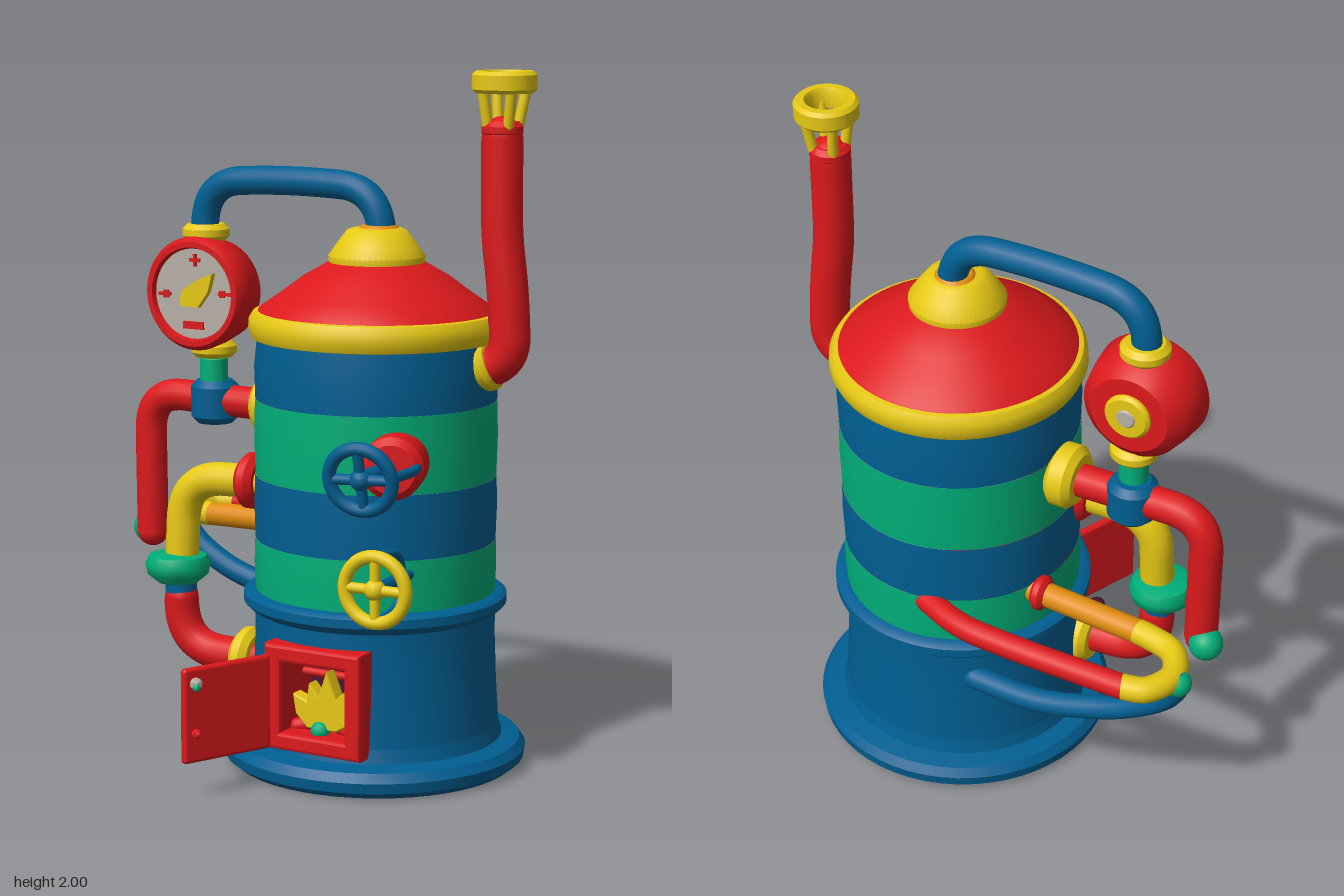
import * as THREE from 'three';
import { toCreasedNormals } from 'three/addons/utils/BufferGeometryUtils.js';
import { RoundedBoxGeometry } from 'three/addons/geometries/RoundedBoxGeometry.js';

const V = (p) => new THREE.Vector3(...p);
const mat = (name, color) => Object.assign(new THREE.MeshStandardMaterial({ color }), { name });

export function createModel() {
  const root = new THREE.Group();
  root.name = 'boiler';
  const red = mat('red', 0xdc191c);
  const yellow = mat('yellow', 0xe6c814);
  const blue = mat('blue', 0x005f92);
  const green = mat('green', 0x00ae78);
  const orange = mat('orange', 0xdf8c0c);
  const grey = mat('grey', 0xb8b0a6);
  const dark = mat('dark plum', 0x4a1530);

  const add = (name, geo, m, pos = [0, 0, 0], parent = root) => {
    const mesh = new THREE.Mesh(geo, m);
    mesh.name = name;
    mesh.position.set(...pos);
    parent.add(mesh);
    return mesh;
  };
  // Turned part from [radius, height] pairs, listed bottom to top
  const lathe = (name, pts, m, pos, parent, start = 0, len = Math.PI * 2, seg = 56) =>
    add(name, toCreasedNormals(new THREE.LatheGeometry(pts.map((p) => new THREE.Vector2(...p)), seg, start, len), 0.7), m, pos, parent);
  // Pipe through corner points, each corner rounded by "bend"
  const pipe = (name, pts, r, m, bend = 0.1) => {
    const path = new THREE.CurvePath();
    let from = V(pts[0]);
    for (let i = 1; i < pts.length; i++) {
      const c = V(pts[i]);
      if (i === pts.length - 1) { path.add(new THREE.LineCurve3(from, c)); break; }
      const a = c.clone().add(from.clone().sub(c).setLength(Math.min(bend, from.distanceTo(c) * 0.9)));
      const next = V(pts[i + 1]);
      const b = c.clone().add(next.sub(c).setLength(Math.min(bend, next.length() * 0.9)));
      path.add(new THREE.LineCurve3(from, a));
      path.add(new THREE.QuadraticBezierCurve3(a, c, b));
      from = b;
    }
    add(name, new THREE.TubeGeometry(path, 48, r, 16), m);
    for (const p of [pts[0], pts[pts.length - 1]]) {
      const cap = add(name + 'End', new THREE.SphereGeometry(r, 16, 10), m, p);
      cap.scale.setScalar(0.98);
    }
  };
  // Rounded collar along x, y or z
  const collar = (name, pos, r, len, m, axis = 'y', parent = root) => {
    const b = Math.min(0.02, len * 0.3), h = len / 2;
    const c = lathe(name, [[0, -h], [r - b, -h], [r, b - h], [r, h - b], [r - b, h], [0, h]], m, pos, parent, 0, Math.PI * 2, 28);
    if (axis === 'x') c.rotation.z = -Math.PI / 2;
    if (axis === 'z') c.rotation.x = Math.PI / 2;
    return c;
  };

  // Boiler body, stacked as coloured bands; the firebox band has a gap at the front
  const body = new THREE.Group();
  body.name = 'body';
  body.position.set(0.193, 0, -0.101);
  root.add(body);
  const O = [0, 0, 0], gap = 0.37;
  lathe('baseFlange', [[0, 0], [0.41, 0], [0.435, 0.02], [0.44, 0.05], [0.422, 0.075], [0.37, 0.085], [0.36, 0.125]], blue, O, body);
  lathe('fireboxWall', [[0.36, 0.125], [0.352, 0.25], [0.347, 0.38]], blue, O, body, gap, Math.PI * 2 - 2 * gap);
  lathe('beltFlange', [[0.347, 0.38], [0.347, 0.45], [0.365, 0.46], [0.38, 0.475], [0.38, 0.5], [0.365, 0.512], [0.34, 0.512]], blue, O, body);
  [[0.51, 0.66, green], [0.66, 0.845, blue], [0.845, 1.065, green], [1.065, 1.25, blue]].forEach(([a, b, m], i) =>
    lathe('band' + (i + 1), [[0.346, a], [0.349, (a + b) / 2], [i === 3 ? 0.34 : 0.347, b]], m, O, body));
  lathe('lidRim', [[0.33, 1.235], [0.355, 1.24], [0.366, 1.265], [0.364, 1.295], [0.352, 1.314], [0.33, 1.318]], yellow, O, body);
  lathe('lid', [[0.345, 1.305], [0.335, 1.322], [0.28, 1.36], [0.21, 1.412], [0.13, 1.458], [0.1, 1.465]], red, O, body);
  lathe('lidCap', [[0.11, 1.44], [0.136, 1.45], [0.138, 1.472], [0.115, 1.505], [0.085, 1.545], [0.07, 1.55], [0, 1.55]], yellow, O, body);
  collar('capSeal', [0, 1.545, -0.012], 0.057, 0.025, orange, 'y', body);

  // Firebox frame, interior and fire
  const rect = (P, x0, y0, x1, y1) => {
    const s = new P();
    s.moveTo(x0, y0); s.lineTo(x1, y0); s.lineTo(x1, y1); s.lineTo(x0, y1); s.closePath();
    return s;
  };
  const frame = rect(THREE.Shape, 0.055, 0.11, 0.345, 0.395);
  frame.holes.push(rect(THREE.Path, 0.088, 0.14, 0.315, 0.365));
  add('fireboxFrame', new THREE.ExtrudeGeometry(frame, { depth: 0.18, bevelSize: 0.01, bevelThickness: 0.01, bevelSegments: 2 }), red, [0, 0, 0.09]);
  add('fireboxBack', new THREE.BoxGeometry(0.27, 0.27, 0.01), dark, [0.2, 0.25, 0.1]);
  for (const y of [0.3, 0.34]) pipe('grateBar', [[0.08, y, 0.14], [0.32, y, 0.14]], 0.012, red);
  for (const s of [-1, 1]) pipe('log', [[0.2 - 0.09 * s, 0.155, 0.2], [0.2 + 0.08 * s, 0.2, 0.15]], 0.022, red);
  const flame = new THREE.Shape([[0.16, 0.165], [0.25, 0.165], [0.295, 0.19], [0.315, 0.25], [0.285, 0.235], [0.28, 0.28], [0.25, 0.25],
    [0.22, 0.325], [0.195, 0.25], [0.165, 0.285], [0.16, 0.235], [0.115, 0.25], [0.125, 0.2]].map((p) => new THREE.Vector2(...p)));
  add('flame', new THREE.ExtrudeGeometry(flame, { depth: 0.03, bevelSize: 0.005, bevelThickness: 0.01, bevelSegments: 2 }), yellow, [0, 0, 0.19]);
  add('ember', new THREE.SphereGeometry(0.028, 12, 8), green, [0.2, 0.158, 0.225]);

  // Open firebox door, swung out to the front beside the frame
  const door = new THREE.Group();
  door.name = 'door';
  door.position.set(0.06, 0.238, 0.275);
  door.rotation.y = Math.PI + 1.15;
  root.add(door);
  add('doorPanel', new RoundedBoxGeometry(0.29, 0.272, 0.026, 3, 0.011), red, [0.145, 0, 0], door);
  collar('doorKnob', [0.257, 0.094, -0.022], 0.017, 0.03, grey, 'z', door);
  add('knobTip', new THREE.SphereGeometry(0.011, 10, 8), green, [0.264, 0.086, -0.034], door);
  collar('doorLatch', [0.255, -0.05, -0.02], 0.013, 0.03, red, 'z', door);
  for (const y of [0.16, 0.33]) collar('hinge', [0.055, y, 0.27], 0.018, 0.05, red);
  pipe('latchPeg', [[-0.05, 0.21, 0.14], [-0.09, 0.21, 0.23]], 0.026, dark);

  // Chimney with raised ring cap
  collar('chimneyFlange', [0.535, 1.185, -0.12], 0.078, 0.05, yellow, 'x').rotation.z = -1.2;
  pipe('chimney', [[0.5, 1.17, -0.12], [0.61, 1.19, -0.12], [0.6, 1.4, -0.118], [0.58, 1.55, -0.115], [0.578, 1.82, -0.115]], 0.058, red, 0.08);
  collar('chimneyTop', [0.578, 1.84, -0.115], 0.058, 0.045, red);
  lathe('chimneyRing', [[0.052, 1.94], [0.08, 1.94], [0.09, 1.95], [0.09, 1.99], [0.08, 2], [0.06, 2], [0.052, 1.985], [0.052, 1.94]], yellow, [0.583, 0, -0.115]);
  for (let i = 0; i < 4; i++) {
    const a = (i * Math.PI) / 2 + Math.PI / 4, c = Math.cos(a), s = Math.sin(a);
    pipe('ringStrut', [[0.58 + 0.045 * c, 1.85, -0.115 + 0.045 * s], [0.583 + 0.064 * c, 1.955, -0.115 + 0.064 * s]], 0.015, yellow);
  }

  // Steam pipe from the lid to the gauge
  pipe('steamPipe', [[0.2, 1.5, -0.12], [0.19, 1.66, -0.12], [-0.1, 1.672, -0.122], [-0.4, 1.655, -0.13], [-0.405, 1.48, -0.13]], 0.042, blue, 0.13);
  collar('gaugeTopCollar', [-0.4, 1.505, -0.13], 0.07, 0.05, yellow);
  // Pressure gauge
  const gauge = new THREE.Group();
  gauge.name = 'gauge';
  gauge.position.set(-0.39, 1.33, -0.125);
  root.add(gauge);
  lathe('gaugeCase', [[0, -0.08], [0.115, -0.08], [0.15, -0.05], [0.163, 0.02], [0.168, 0.075], [0.155, 0.095], [0.138, 0.095], [0.132, 0.075], [0, 0.075]], red, O, gauge).rotation.x = Math.PI / 2;
  add('dial', new THREE.CircleGeometry(0.134, 40), grey, [0, 0, 0.079], gauge);
  const marks = [[0.006, 0.1, 0.036, 0.01], [0.006, 0.1, 0.01, 0.036], [-0.1, -0.005, 0.04, 0.01], [-0.095, -0.005, 0.018, 0.022],
    [0.11, 0.005, 0.045, 0.01], [0.1, 0.005, 0.016, 0.02], [0, -0.093, 0.07, 0.022]];
  for (const [x, y, w, h] of marks) add('dialMark', new THREE.BoxGeometry(w, h, 0.008), red, [x, y, 0.082], gauge);
  const needle = new THREE.Shape([[-0.04, -0.035], [0.025, -0.038], [0.06, 0.01], [0.075, 0.065], [0.025, 0.045], [-0.03, 0.01]].map((p) => new THREE.Vector2(...p)));
  add('needle', new THREE.ExtrudeGeometry(needle, { depth: 0.02, bevelEnabled: false }), yellow, [0, 0, 0.08], gauge);
  collar('rearBoss', [0, 0, -0.082], 0.068, 0.03, yellow, 'z', gauge);
  collar('rearScrew', [0, 0, -0.095], 0.028, 0.014, grey, 'z', gauge);
  collar('gaugeBottomCollar', [-0.375, 1.16, -0.13], 0.068, 0.05, yellow);
  collar('gaugeNeck', [-0.375, 1.09, -0.13], 0.042, 0.12, green);

  // Upper red overflow pipe with junction
  collar('upperFlange', [-0.175, 1.005, -0.14], 0.093, 0.085, yellow, 'x');
  pipe('overflowPipe', [[-0.1, 1.0, -0.14], [-0.61, 1.01, -0.14], [-0.605, 0.58, -0.14]], 0.048, red, 0.12);
  collar('junction', [-0.378, 1.0, -0.14], 0.072, 0.13, blue);
  add('overflowCap', new THREE.SphereGeometry(0.05, 18, 12), green, [-0.632, 0.585, -0.165]);

  // Front side pipe with valve
  collar('sideTopFlange', [-0.14, 0.81, 0.03], 0.082, 0.06, red, 'x');
  pipe('sideUpperPipe', [[-0.08, 0.81, 0.03], [-0.37, 0.8, 0.04], [-0.375, 0.56, 0.05]], 0.05, yellow, 0.13);
  lathe('valve', [[0, -0.04], [0.06, -0.045], [0.09, -0.02], [0.097, 0.01], [0.085, 0.035], [0.05, 0.045], [0, 0.045]], green, [-0.39, 0.53, 0.05]);
  collar('valveNeck', [-0.38, 0.47, 0.05], 0.047, 0.08, blue);
  pipe('sideLowerPipe', [[-0.378, 0.44, 0.05], [-0.378, 0.285, 0.045], [-0.09, 0.28, 0.03]], 0.052, red, 0.14);
  collar('sideLowerFlange', [-0.155, 0.28, 0.03], 0.09, 0.06, yellow, 'x');

  // Horizontal return loop at the back: red, yellow, orange
  pipe('loopBack', [[0.13, 0.635, -0.42], [0.0, 0.63, -0.475], [-0.2, 0.625, -0.48], [-0.52, 0.62, -0.475]], 0.036, red, 0.08);
  add('loopBend', new THREE.TubeGeometry(new THREE.CatmullRomCurve3([[-0.52, 0.62, -0.475], [-0.585, 0.62, -0.455], [-0.625, 0.62, -0.37],
    [-0.585, 0.622, -0.285], [-0.5, 0.625, -0.258], [-0.46, 0.626, -0.253]].map(V)), 32, 0.037, 16), yellow);
  pipe('loopFront', [[-0.47, 0.626, -0.254], [-0.08, 0.635, -0.235]], 0.036, orange);
  collar('loopFlange', [-0.145, 0.635, -0.24], 0.052, 0.04, red, 'x');
  // Blue drain pipe curving up to the loop
  pipe('drainPipe', [[0.0, 0.36, -0.38], [-0.22, 0.36, -0.39], [-0.48, 0.43, -0.365], [-0.63, 0.54, -0.36], [-0.645, 0.61, -0.375]], 0.035, blue, 0.1);
  add('drainTip', new THREE.SphereGeometry(0.039, 14, 10), green, [-0.645, 0.605, -0.375]);

  // Spoked handwheels
  const wheel = (name, pos, r, tube, m, rx, ry) => {
    const g = new THREE.Group();
    g.name = name;
    g.position.set(...pos);
    g.rotation.set(rx, ry, 0);
    root.add(g);
    add('rim', new THREE.TorusGeometry(r, tube, 12, 36), m, O, g);
    for (const a of [0, Math.PI / 2]) add('spoke', new THREE.CylinderGeometry(0.015, 0.015, r * 2, 10), m, O, g).rotation.z = a;
    add('hub', new THREE.SphereGeometry(0.03, 14, 10), m, O, g);
  };
  wheel('upperWheel', [0.425, 0.93, 0.4], 0.09, 0.019, blue, 0.22, 0.15);
  pipe('upperStem', [[0.42, 0.935, 0.2], [0.425, 0.93, 0.4]], 0.022, blue);
  pipe('upperStay', [[0.47, 0.94, 0.15], [0.515, 0.94, 0.26], [0.515, 0.94, 0.385]], 0.014, blue, 0.04);
  const boss = collar('upperBoss', [0.415, 0.935, 0.19], 0.088, 0.15, red, 'z');
  boss.rotation.set(Math.PI / 2, 0, -0.35);
  wheel('lowerWheel', [0.443, 0.62, 0.35], 0.092, 0.019, yellow, 0, 0.05);
  pipe('lowerStem', [[0.43, 0.62, 0.12], [0.443, 0.62, 0.335]], 0.017, blue);
  pipe('lowerBracket', [[0.443, 0.71, 0.335], [0.443, 0.7, 0.2], [0.443, 0.54, 0.2], [0.443, 0.53, 0.335]], 0.013, blue, 0.07);

  return root;
}
